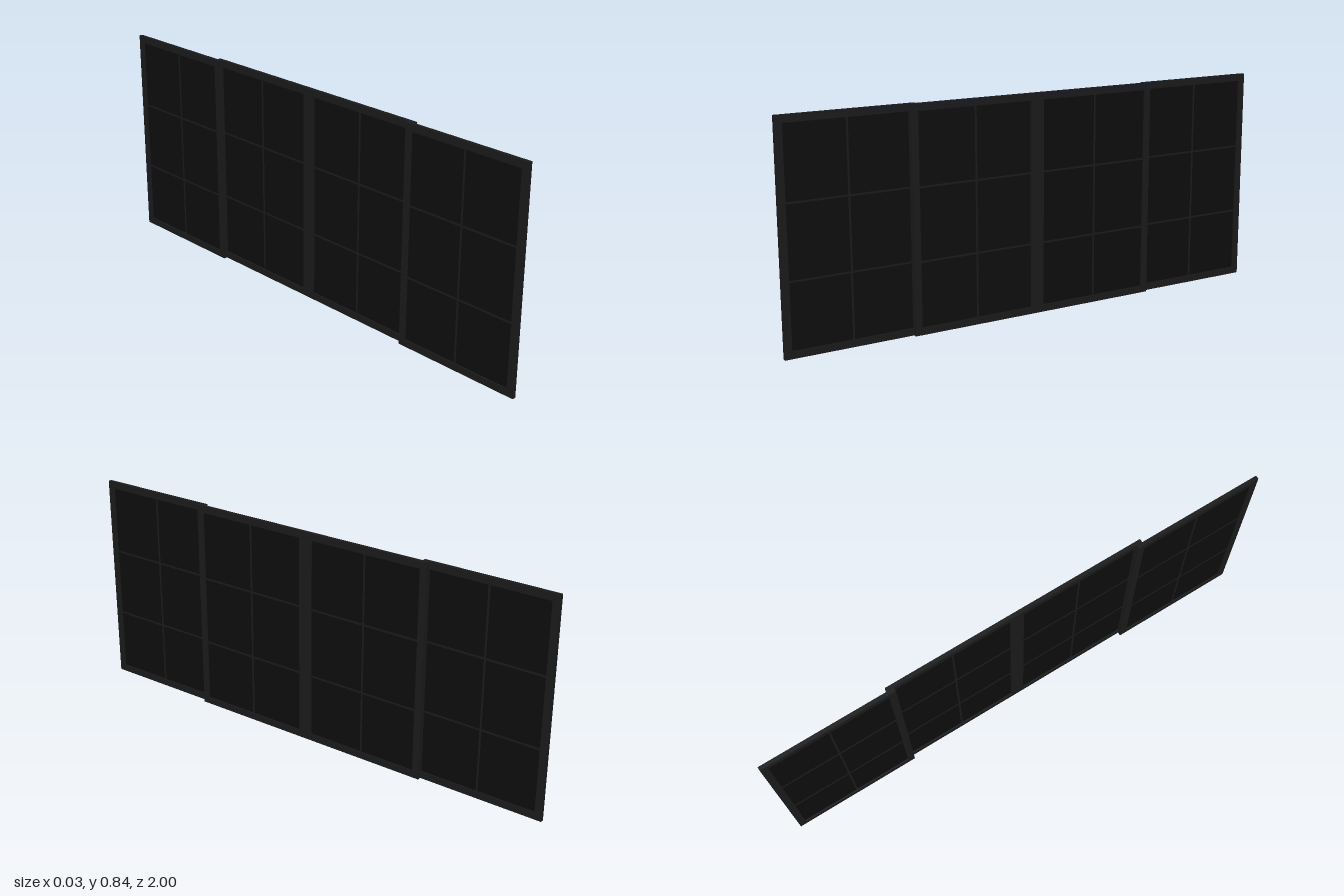
import * as THREE from 'three';

const HEIGHT = 0.836, WIDTH = 0.513, DEPTH = 0.0145, STILE = 0.027;

const frameMat = new THREE.MeshStandardMaterial({ color: 0x1a1a1a });
const glassMat = new THREE.MeshStandardMaterial({ color: 0x0d0d0d });

function box(name, mat, x, y, z, px, py, pz) {
  const mesh = new THREE.Mesh(new THREE.BoxGeometry(x, y, z), mat);
  mesh.name = name;
  mesh.position.set(px, py, pz);
  return mesh;
}

// Rectangular frame with one opening, lying in the z-y plane
function frameGeometry() {
  const w = WIDTH / 2, h = HEIGHT / 2;
  const rect = (path, a, b) => path.moveTo(-a, -b).lineTo(a, -b).lineTo(a, b).lineTo(-a, b).closePath();
  const shape = rect(new THREE.Shape(), w, h);
  shape.holes.push(rect(new THREE.Path(), w - STILE, h - STILE));
  return new THREE.ExtrudeGeometry(shape, { depth: DEPTH, bevelEnabled: false })
    .translate(0, 0, -DEPTH / 2)
    .rotateY(-Math.PI / 2);
}

// One sliding leaf: frame, glass and glazing bars
function createLeaf(name, x, z) {
  const leaf = new THREE.Group();
  leaf.name = name;
  const frame = new THREE.Mesh(frameGeometry(), frameMat);
  frame.name = 'leafFrame';
  frame.position.y = HEIGHT / 2;
  const innerW = WIDTH - 2 * STILE, innerH = HEIGHT - 2 * STILE;
  leaf.add(frame, box('glass', glassMat, 0.004, innerH, innerW, 0, HEIGHT / 2, 0));
  leaf.add(box('verticalBar', frameMat, 0.007, innerH, 0.007, 0, HEIGHT / 2, 0));
  for (const y of [0.27, 0.54]) {
    leaf.add(box('horizontalBar', frameMat, 0.0068, 0.007, innerW, 0, y, 0));
  }
  leaf.position.set(x, 0, z);
  return leaf;
}

export function createModel() {
  const model = new THREE.Group();
  model.name = 'slidingDoor';
  for (const side of [1, -1]) {
    // Middle leaves meet at the centre; outer leaves run on the other track
    model.add(createLeaf('middleLeaf', DEPTH / 2, side * WIDTH / 2));
    model.add(createLeaf('outerLeaf', -DEPTH / 2, side * (1 - WIDTH / 2)));
  }
  return model;
}
